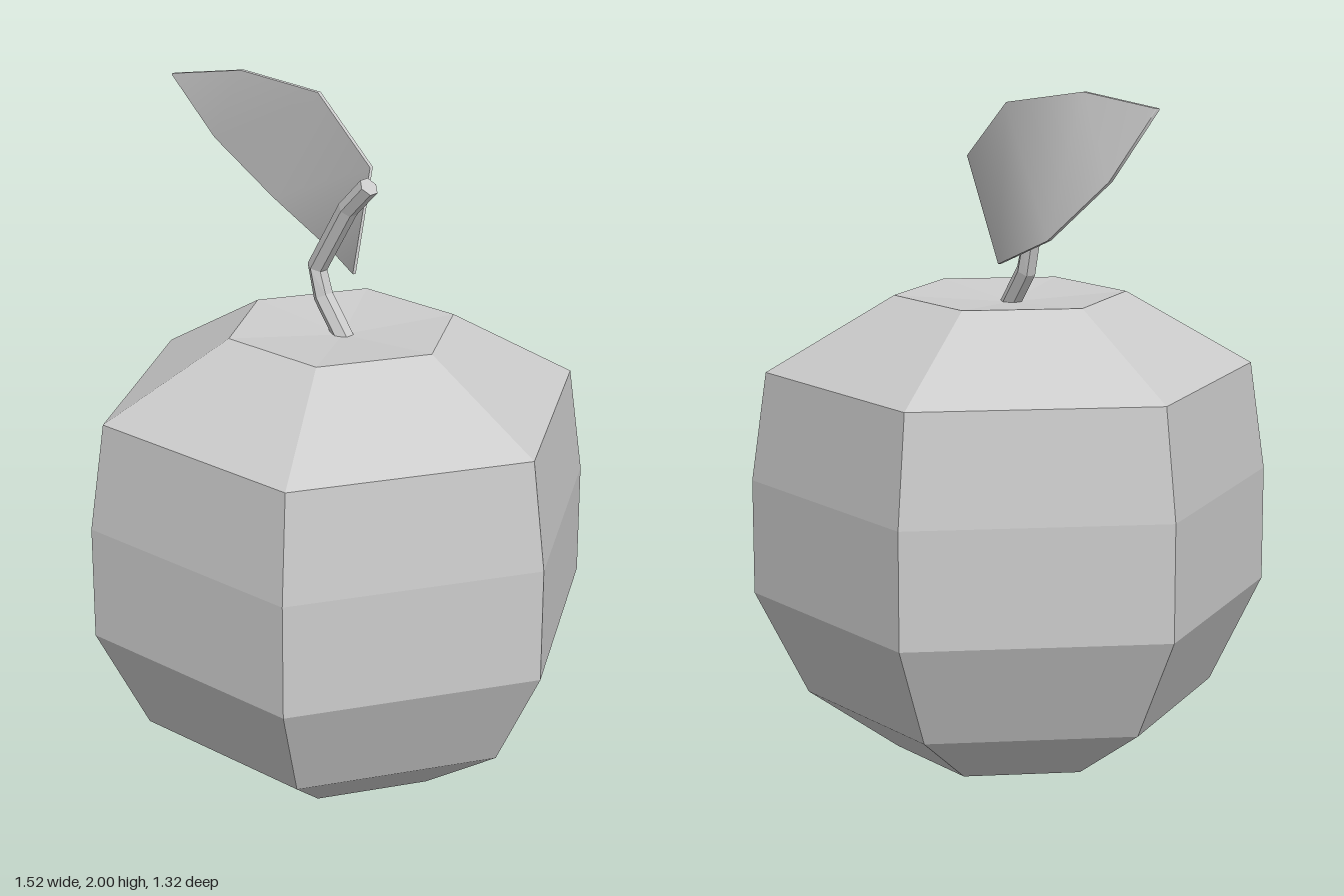
import * as THREE from 'three';
import { toCreasedNormals } from 'three/addons/utils/BufferGeometryUtils.js';

const V = (x, y, z) => new THREE.Vector3(x, y, z);

// Skin a list of equal-length closed rings, with fan caps on both ends
function loft(rings) {
  const n = rings[0].length;
  const index = [];
  for (let i = 0; i < rings.length - 1; i++) {
    for (let j = 0; j < n; j++) {
      const k = (j + 1) % n;
      const a = i * n + j, b = a + n, c = (i + 1) * n + k, d = i * n + k;
      index.push(a, b, c, a, c, d);
    }
  }
  const last = (rings.length - 1) * n;
  for (let j = 1; j < n - 1; j++) {
    index.push(0, j, j + 1, last, last + j + 1, last + j);
  }
  const geometry = new THREE.BufferGeometry().setFromPoints(rings.flat());
  geometry.setIndex(index);
  return geometry;
}

function add(group, name, geometry, flatShading) {
  const material = new THREE.MeshStandardMaterial({ color: 0xcccccc, flatShading });
  const mesh = new THREE.Mesh(geometry, material);
  mesh.name = name;
  group.add(mesh);
}

export function createModel() {
  const group = new THREE.Group();
  group.name = 'apple';

  // Six-sided fruit with a shallow dip on top
  const profile = [
    [0, 0.01], [0.34, 0], [0.605, 0.18], [0.76, 0.49],
    [0.76, 0.83], [0.715, 1.15], [0.34, 1.37], [0, 1.345],
  ].map(([r, y]) => new THREE.Vector2(r, y));
  const fruit = new THREE.LatheGeometry(profile, 6, Math.PI / 2).toNonIndexed();
  fruit.computeVertexNormals();
  add(group, 'fruit', fruit, true);

  // Bent hexagonal stem
  const path = [
    [0.01, 1.33], [-0.075, 1.445], [-0.098, 1.53], [0.02, 1.727], [0.1, 1.81],
  ].map(([x, y]) => V(x, y, 0));
  const stemRings = path.map((p, i) => {
    const before = path[Math.max(i - 1, 0)];
    const after = path[Math.min(i + 1, path.length - 1)];
    const t = after.clone().sub(before).normalize();
    const side = V(t.y, -t.x, 0);
    return Array.from({ length: 6 }, (_, j) => {
      const angle = j * Math.PI / 3;
      return p.clone().addScaledVector(side, 0.03 * Math.sin(angle))
        .add(V(0, 0, 0.03 * Math.cos(angle)));
    });
  });
  // Ring order runs clockwise about the path so the skin faces outward
  stemRings.forEach((ring) => ring.reverse());
  const stem = loft(stemRings).toNonIndexed();
  stem.computeVertexNormals();
  add(group, 'stem', stem, true);

  // Thin twisted leaf: upper and lower edge points from its base to its tip
  const ribs = [
    [V(0.05, 1.547, 0.005), V(0.05, 1.542, 0.005)],
    [V(-0.065, 1.79, -0.195), V(-0.22, 1.5, -0.2)],
    [V(-0.31, 1.96, -0.238), V(-0.5, 1.6, -0.24)],
    [V(-0.55, 2.0, -0.16), V(-0.67, 1.77, -0.165)],
    [V(-0.765, 1.967, -0.085), V(-0.765, 1.962, -0.085)],
  ];
  const shift = V(0, 0, 0.006);
  const leafRings = ribs.map(([upper, lower]) => [
    upper.clone().add(shift), lower.clone().add(shift),
    lower.clone().sub(shift), upper.clone().sub(shift),
  ]);
  add(group, 'leaf', toCreasedNormals(loft(leafRings), 0.9), false);

  return group;
}
